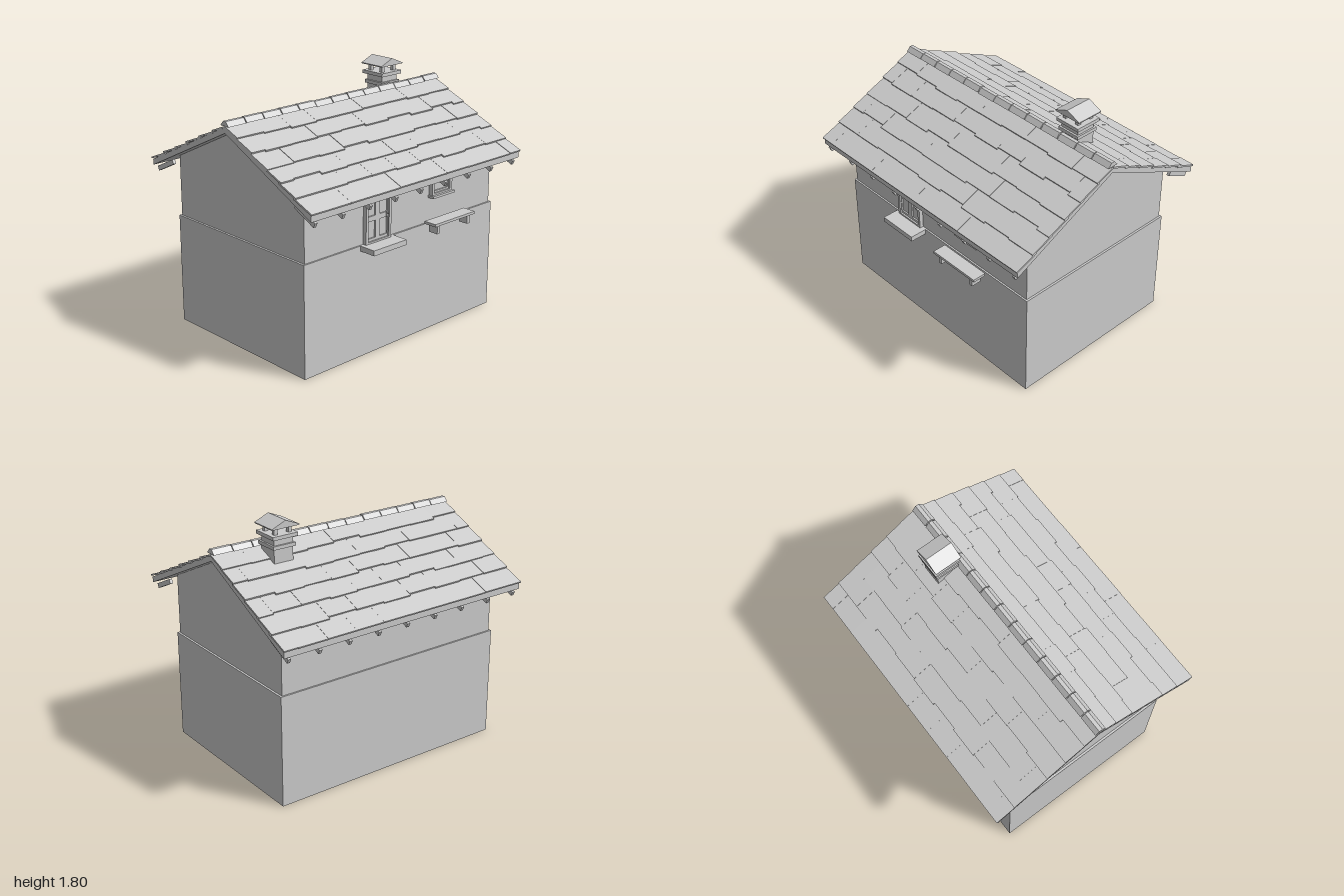
import * as THREE from 'three';

export function createModel() {
  const model = new THREE.Group();
  model.name = 'cottage';
  const grey = new THREE.MeshStandardMaterial({ color: 0xcccccc, flatShading: true });
  grey.name = 'plain grey';

  const add = (name, geometry, parent = model) => {
    const mesh = new THREE.Mesh(geometry, grey);
    mesh.name = name;
    parent.add(mesh);
    return mesh;
  };
  const group = (name, parent = model) => {
    const g = new THREE.Group();
    g.name = name;
    parent.add(g);
    return g;
  };
  // Box given by its limits on each axis
  const box = (name, x0, x1, y0, y1, z0, z1, parent) => {
    const mesh = add(name, new THREE.BoxGeometry(x1 - x0, y1 - y0, z1 - z0), parent);
    mesh.position.set((x0 + x1) / 2, (y0 + y1) / 2, (z0 + z1) / 2);
    return mesh;
  };
  // Prism with a (z, y) outline, running along x
  const prism = (name, points, x0, x1, parent) => {
    const shape = new THREE.Shape(points.map(([z, y]) => new THREE.Vector2(-z, y)));
    const geometry = new THREE.ExtrudeGeometry(shape, { depth: x1 - x0, bevelEnabled: false });
    geometry.rotateY(Math.PI / 2).translate(x0, 0, 0);
    return add(name, geometry, parent);
  };
  let seed = 11;
  const random = () => (seed = (seed * 16807) % 2147483647) / 2147483647;

  // Walls: a base block and a slightly narrower gabled storey
  box('base', -0.91, 0.91, 0, 0.8, -0.655, 0.655);
  prism('upperWalls', [[-0.643, 0.8], [0.643, 0.8], [0.643, 1.237], [0, 1.546], [-0.643, 1.237]], -0.895, 0.895);

  // Roof slab
  const slope = 0.481, angle = Math.atan(slope), eave = 0.82;
  const drop = eave * slope;
  prism('roofSlab', [
    [0, 1.587], [-eave, 1.587 - drop], [-eave, 1.545 - drop],
    [0, 1.545], [eave, 1.545 - drop], [eave, 1.587 - drop],
  ], -0.995, 0.995);

  // Overlapping shingles on both slopes, staggered row by row
  const rows = 6, width = 2 / 9, rowLength = eave / Math.cos(angle) / rows;
  for (const side of [0, 1]) {
    const pitch = group(side ? 'backPitch' : 'frontPitch');
    pitch.rotation.y = side * Math.PI;
    const shingles = group('shingles', pitch);
    shingles.position.y = 1.587;
    shingles.rotation.x = angle;
    for (let row = 0; row < rows; row++) {
      const shift = row % 2 ? width / 2 : 0;
      for (let i = 0; i < 10; i++) {
        const x0 = Math.max(-1, -1 + i * width - shift);
        const x1 = Math.min(1, -1 + (i + 1) * width - shift);
        if (x1 - x0 < 0.01) continue;
        const low = (row + 1) * rowLength + (row < rows - 1 ? (random() - 0.5) * 0.026 : 0.006);
        const length = low - row * rowLength + (row ? 0.02 : 0);
        const geometry = new THREE.BoxGeometry(x1 - x0, 0.012, length);
        geometry.translate(0, 0, -length / 2);
        const shingle = add('shingle', geometry, shingles);
        shingle.position.set((x0 + x1) / 2, 0.01 + random() * 0.004, low);
        shingle.rotation.x = -0.07;
        shingle.rotation.x *= -1;
        shingle.rotation.x = 0.0 - 0.07;
      }
    }
    // Rafter tails under the eaves
    for (let i = 0; i < 9; i++) {
      const tail = add('rafterTail', new THREE.BoxGeometry(0.022, 0.034, 0.195), pitch);
      tail.position.set(-0.95 + i * 0.2375, 1.162, 0.722);
      tail.rotation.x = angle;
    }
  }

  // Ridge caps
  const caps = group('ridgeCaps');
  const capWidth = 2 / 13;
  for (let i = 0; i < 13; i++) {
    const x0 = -1 + i * capWidth;
    const cap = prism('ridgeCap', [
      [-0.042, 1.595], [0.042, 1.595], [0.013, 1.628], [-0.013, 1.628],
    ], x0 + 0.003, x0 + capWidth - 0.003, caps);
    cap.position.y = (random() - 0.5) * 0.006;
  }

  // Chimney with two ledges, four posts and a small gabled cap
  const chimney = group('chimney');
  chimney.position.set(0.562, 0, -0.125);
  const slab = (name, halfX, halfZ, y0, y1) => box(name, -halfX, halfX, y0, y1, -halfZ, halfZ, chimney);
  slab('stack', 0.075, 0.074, 1.45, 1.68);
  slab('lowerLedge', 0.088, 0.088, 1.605, 1.63);
  slab('upperLedge', 0.098, 0.1, 1.675, 1.7);
  for (const x of [-0.056, 0.056]) for (const z of [-0.056, 0.056]) {
    box('post', x - 0.013, x + 0.013, 1.7, 1.755, z - 0.013, z + 0.013, chimney);
  }
  const capShape = new THREE.Shape([[-0.108, 1.748], [0.108, 1.748], [0.108, 1.755], [0, 1.8], [-0.108, 1.755]]
    .map(([x, y]) => new THREE.Vector2(x, y)));
  const capRoof = new THREE.ExtrudeGeometry(capShape, { depth: 0.204, bevelEnabled: false });
  add('chimneyCap', capRoof.translate(0, 0, -0.102), chimney);

  // Door: frame, leaf with four recessed panels, handle and step
  const door = group('door');
  box('jamb', -0.377, -0.357, 0.8, 1.17, 0.64, 0.672, door);
  box('jamb', -0.163, -0.143, 0.8, 1.17, 0.64, 0.672, door);
  box('lintel', -0.377, -0.143, 1.15, 1.17, 0.64, 0.672, door);
  box('threshold', -0.357, -0.163, 0.8, 0.812, 0.64, 0.672, door);
  const leaf = new THREE.Shape();
  leaf.moveTo(-0.357, 0.812).lineTo(-0.163, 0.812).lineTo(-0.163, 1.15).lineTo(-0.357, 1.15);
  for (const x of [-0.352, -0.24]) for (const [y0, y1] of [[0.83, 0.95], [0.985, 1.135]]) {
    const hole = new THREE.Path();
    hole.moveTo(x, y0).lineTo(x, y1).lineTo(x + 0.072, y1).lineTo(x + 0.072, y0);
    leaf.holes.push(hole);
  }
  const leafGeometry = new THREE.ExtrudeGeometry(leaf, { depth: 0.015, bevelEnabled: false });
  add('doorLeaf', leafGeometry.translate(0, 0, 0.645), door);
  box('doorPanels', -0.357, -0.163, 0.812, 1.15, 0.64, 0.649, door);
  const knob = add('doorHandle', new THREE.SphereGeometry(0.009, 10, 8), door);
  knob.position.set(-0.177, 0.982, 0.672);
  box('handlePlate', -0.183, -0.171, 0.955, 0.992, 0.655, 0.664, door);
  box('doorStep', -0.41, -0.105, 0.763, 0.8, 0.64, 0.78);

  // Window: casing, inner sash, pane and sill
  const frame = (name, x0, x1, y0, y1, thick, depth) => {
    const g = group(name);
    box('stile', x0, x0 + thick, y0, y1, 0.64, depth, g);
    box('stile', x1 - thick, x1, y0, y1, 0.64, depth, g);
    box('rail', x0 + thick, x1 - thick, y0, y0 + thick, 0.64, depth, g);
    box('rail', x0 + thick, x1 - thick, y1 - thick, y1, 0.64, depth, g);
  };
  frame('windowCasing', 0.255, 0.458, 0.985, 1.165, 0.024, 0.674);
  frame('windowSash', 0.279, 0.434, 1.009, 1.141, 0.013, 0.662);
  box('windowPane', 0.29, 0.423, 1.02, 1.13, 0.64, 0.65);
  box('windowSill', 0.245, 0.467, 0.98, 0.997, 0.64, 0.693);

  // Bench
  const bench = group('bench');
  box('benchSeat', 0.155, 0.56, 0.826, 0.845, 0.7, 0.8, bench);
  for (const x of [0.192, 0.5]) box('benchLeg', x, x + 0.025, 0.762, 0.826, 0.71, 0.785, bench);

  return model;
}
